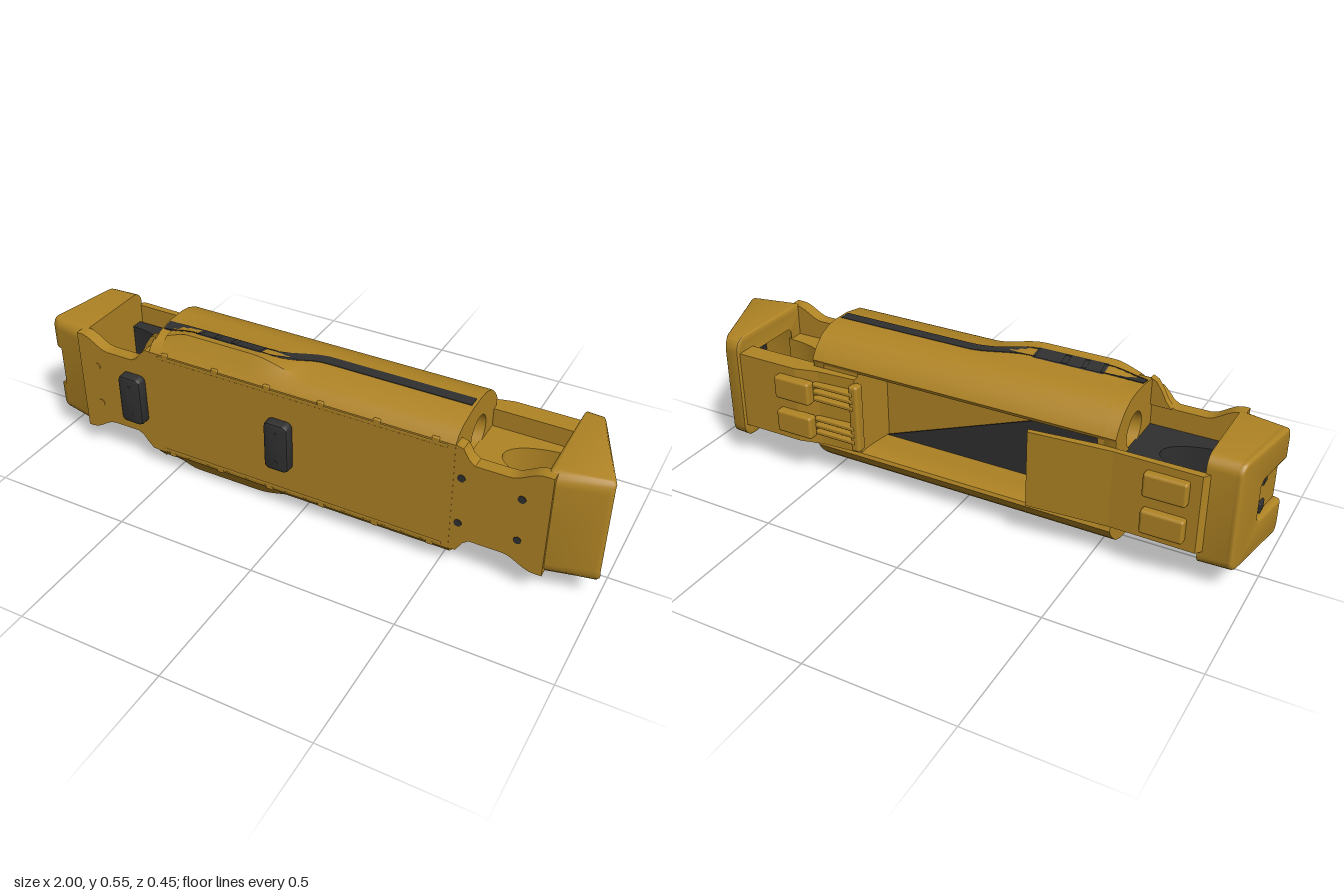
import * as THREE from 'three';
import { toCreasedNormals } from 'three/addons/utils/BufferGeometryUtils.js';
import { RoundedBoxGeometry } from 'three/addons/geometries/RoundedBoxGeometry.js';

const MID = 0.275; // height of the horizontal symmetry plane
const yellow = new THREE.MeshStandardMaterial({ color: 0xb08424, side: THREE.DoubleSide });
const dark = new THREE.MeshStandardMaterial({ color: 0x303030, side: THREE.DoubleSide });
const { smoothstep } = THREE.MathUtils;

export function createModel() {
  const model = new THREE.Group();
  const add = (name, geo, mat, x = 0, y = 0, z = 0) => {
    const m = new THREE.Mesh(geo, mat);
    m.name = name;
    m.position.set(x, y, z);
    model.add(m);
    return m;
  };
  const rbox = (name, mat, x, y, z, w, h, d, r = 0.01) =>
    add(name, new RoundedBoxGeometry(w, h, d, 2, Math.min(r, w / 2.1, h / 2.1, d / 2.1)), mat, x, y, z);
  const shapeOf = (pts) => new THREE.Shape(pts.map(([a, b]) => new THREE.Vector2(a, b)));
  const extrude = (shape, depth, opt = {}) =>
    new THREE.ExtrudeGeometry(shape, { depth, bevelEnabled: false, curveSegments: 16, ...opt });
  // Section given as [z, y], swept from x0 to x1
  const zy = (pts) => shapeOf(pts.map(([z, y]) => [-z, y]));
  const alongX = (shape, x0, x1, opt) => extrude(shape, x1 - x0, opt).rotateY(Math.PI / 2).translate(x0, 0, 0);
  // Plan given as [x, z], swept from y0 to y1
  const xz = (pts) => shapeOf(pts.map(([x, z]) => [x, -z]));
  const alongY = (shape, y0, y1) => extrude(shape, y1 - y0).rotateX(-Math.PI / 2).translate(0, y0, 0);
  const move = (geo, rule) => {
    const p = geo.attributes.position, v = new THREE.Vector3();
    for (let i = 0; i < p.count; i++) {
      rule(v.fromBufferAttribute(p, i));
      p.setXYZ(i, v.x, v.y, v.z);
    }
    return toCreasedNormals(geo, 0.6);
  };
  const roundRect = (z0, z1, y0, y1, r) => {
    const pts = [];
    [[z1 - r, y1 - r], [z0 + r, y1 - r], [z0 + r, y0 + r], [z1 - r, y0 + r]].forEach(([cz, cy], q) => {
      for (let i = 0; i <= 5; i++) {
        const a = (q + i / 5) * Math.PI / 2;
        pts.push([cz + r * Math.cos(a), cy + r * Math.sin(a)]);
      }
    });
    return pts;
  };
  const flip = (pts) => pts.map(([a, y]) => [a, 2 * MID - y]).reverse();

  // Body: C-shaped shell, open at the back, with swollen flanks on one half
  const flank = [[0.19, 0.475], [0.172, 0.498], [0.14, 0.515], [0.06, 0.53], [-0.01, 0.531], [-0.05, 0.525],
    [-0.09, 0.508], [-0.12, 0.482], [-0.14, 0.458], [-0.15, 0.44], [-0.145, 0.428]];
  const channel = [[-0.12, 0.424], [-0.06, 0.428], [0.03, 0.44]];
  const swelling = (x) => 0.034 * smoothstep(x, -0.56, -0.43) * (1 - smoothstep(x, -0.19, 0));
  const swell = (v) => {
    if (Math.abs(v.z - 0.14) < 0.01) v.y += Math.sign(v.y - MID) * swelling(v.x);
  };
  const shell = [...flank, ...channel, ...flip(channel), ...flip(flank)];
  add('bodyShell', move(alongX(zy(shell), -0.52, 0.496, { steps: 40 }), swell), yellow);

  // Body ends: solid bulkhead, then a rim with two round sockets
  const solid = [...flank, ...flip(flank)];
  for (const [inner, mid, outer] of [[0.36, 0.495, 0.535], [-0.5, -0.52, -0.56]]) {
    const fill = mid > 0 ? [[-0.144, 0.435], [0.04, 0.445], [0.04, 0.105], [-0.144, 0.115]] : solid;
    add('bulkhead', alongX(zy(fill), Math.min(inner, mid), Math.max(inner, mid)), yellow);
    const rim = zy(solid);
    for (const y of [0.4, 0.15]) rim.holes.push(new THREE.Path().absarc(0, y, 0.06, 0, Math.PI * 2));
    add('socketRim', toCreasedNormals(alongX(rim, Math.min(mid, outer), Math.max(mid, outer)), 0.6), yellow);
  }

  // Dark triangular panel on the floor of the back channel
  const tri = extrude(shapeOf([[0.36, 0.112], [-0.5, 0.112], [-0.5, 0.435]]), 0.004);
  add('channelPanel', tri, dark, 0, 0, 0.018);

  // Front plate with waisted necks that flare into the end caps
  const half = (x) => {
    if (x < 0) return 0.145 + 0.1 * smoothstep(x, -0.64, -0.54) + 0.045 * (1 - smoothstep(x, -0.84, -0.74));
    return 0.145 + 0.1 * (1 - smoothstep(x, 0.52, 0.6)) + 0.04 * smoothstep(x, 0.71, 0.81);
  };
  const rows = [];
  for (const start of [-0.86, 0.52]) for (let i = 0; i <= 16; i++) rows.push(start + i * 0.02);
  const edge = rows.map((x) => [x, MID + Math.min(half(x), 0.2)]);
  add('frontPlate', toCreasedNormals(extrude(shapeOf([...flip(edge), ...edge].reverse()), 0.045), 0.5), yellow, 0, 0, 0.144);

  // Flared body corners above the right neck
  const flare = [[-0.555, 0.245], [-0.575, 0.235], [-0.595, 0.205], [-0.61, 0.175], [-0.63, 0.15], [-0.555, 0.15]];
  for (const s of [-1, 1])
    add('bodyFlare', extrude(shapeOf(flare.map(([x, y]) => [x, MID + s * y])), 0.025), yellow, 0, 0, 0.13);

  // Neck liners: blocks with a half-oval grip opening against the cap
  for (const s of [-1, 1]) {
    const end = s > 0 ? 0.82 : 0.85, tip = s > 0 ? 0.62 : 0.65, root = s > 0 ? 0.53 : 0.555;
    const pts = [[s * root, -0.13], [s * end, -0.13], [s * end, -0.09]];
    for (let i = 1; i < 16; i++) {
      const a = -Math.PI / 2 + (i / 16) * Math.PI;
      pts.push([s * (end - (end - tip) * Math.cos(a)), 0.09 * Math.sin(a)]);
    }
    pts.push([s * end, 0.09], [s * end, 0.145], [s * root, 0.145]);
    add('neckLiner', toCreasedNormals(alongY(xz(pts), 0.2, 0.35), 0.5), s > 0 ? yellow : dark);
  }

  // End caps, leaning back towards the rear and tapering at the front
  const lean = (s, x0, x1, k, taper) => (v) => {
    const far = Math.max(0, (s * v.x - x0) / (x1 - x0));
    v.x -= s * Math.max(0, 0.11 - v.z) * k * far;
    if (v.z > 0.1) v.z -= (v.z - 0.1) * taper * far;
    v.y = MID + (v.y - MID) * (1 - 0.02 * far);
  };
  const bevel = { bevelEnabled: true, bevelThickness: 0.015, bevelSize: 0.015, bevelOffset: -0.015, bevelSegments: 3 };
  const leftCap = zy(roundRect(-0.205, 0.185, 0.083, 0.467, 0.045));
  leftCap.holes.push(zy(roundRect(-0.17, 0.107, 0.143, 0.407, 0.035)));
  add('leftCap', move(alongX(leftCap, 0.825, 0.985, bevel), lean(1, 0.81, 1, 0.43, 0.6)), yellow);
  const rightLean = lean(-1, 0.84, 1, 0.2, 0.45);
  add('rightCap', move(alongX(zy(roundRect(-0.15, 0.185, 0.083, 0.467, 0.04)), -0.975, -0.84), rightLean), yellow);
  const notched = roundRect(-0.15, 0.185, 0.083, 0.467, 0.04);
  notched.push([0.185, 0.2], [0.0, 0.2], [-0.015, 0.215], [-0.015, 0.335], [0.0, 0.35], [0.185, 0.35]);
  add('rightCapTip', move(alongX(zy(notched), -0.99, -0.975,
    { ...bevel, bevelThickness: 0.01, bevelSize: 0.01, bevelOffset: -0.01 }), rightLean), yellow);
  for (const y of [0.325, 0.225]) rbox('contact', dark, -0.964, y, 0.045, 0.012, 0.035, 0.04, 0.004);

  // Sunken dark panel with keys in the left cap
  const keypad = new THREE.Group();
  keypad.name = 'keypad';
  keypad.position.set(0.905, MID, -0.03);
  keypad.rotation.y = 0.4;
  const key = (name, y, z, h, d, x, w) => {
    const m = new THREE.Mesh(new RoundedBoxGeometry(w, h, d, 2, 0.006), dark);
    m.name = name;
    m.position.set(x, y, z);
    keypad.add(m);
  };
  key('keyPanel', 0, 0, 0.26, 0.3, -0.012, 0.016);
  for (const s of [-1, 1]) {
    key('keyRow', s * 0.083, 0, 0.07, 0.27, 0, 0.02);
    for (const [z, d] of [[0.095, 0.047], [0.036, 0.047], [-0.062, 0.115]]) key('key', s * 0.08, z, 0.042, d, 0.01, 0.014);
  }
  model.add(keypad);

  // Rear plates bridging the necks, with straps and fingers
  const rightPlate = xz([[-0.86, -0.145], [-0.84, -0.17], [-0.56, -0.165], [-0.285, -0.185], [-0.28, -0.168], [-0.5, -0.145]]);
  add('rightRearPlate', alongY(rightPlate, 0.14, 0.41), yellow);
  const leftPlate = xz([[0.36, -0.14], [0.36, -0.165], [0.5, -0.175], [0.58, -0.195], [0.84, -0.195], [0.84, -0.125], [0.54, -0.125]]);
  add('leftRearPlate', alongY(leftPlate, 0.135, 0.415), yellow);
  for (const y of [0.342, 0.212]) {
    rbox('rightStrap', yellow, -0.735, y, -0.178, 0.14, 0.083, 0.035);
    rbox('leftStrap', yellow, 0.58, y, -0.205, 0.14, 0.083, 0.04);
    for (const dy of [-0.026, 0, 0.026]) rbox('rearFinger', yellow, 0.435, y + dy, -0.178, 0.16, 0.016, 0.03, 0.005);
  }
  rbox('rearEdge', yellow, 0.355, MID, -0.17, 0.035, 0.25, 0.04);

  // Dark inlay bands and grip pads, following the slope of the flanks
  const line = [];
  for (let x = -0.555; x < 0.53; x += 0.03) line.push([x, 0.085 - 0.052 * smoothstep(x, -0.16, 0.03)]);
  const band = [...line.map(([x, z]) => [x, z + 0.02]), ...line.map(([x, z]) => [x, z - 0.02]).reverse()];
  for (const s of [-1, 1]) {
    const y0 = MID + s * 0.235, y1 = MID + s * 0.2575;
    const follow = (v) => { v.y += s * Math.max(0, v.z - 0.06) / 0.08 * (swelling(v.x) - 0.015); };
    add('inlayBand', move(alongY(xz(band), Math.min(y0, y1), Math.max(y0, y1)), follow), dark);
    rbox('gripPad', dark, -0.3, MID + s * 0.25, 0.088, 0.26, 0.024, 0.07).rotation.x = -0.23 * s;
    for (const [x, w] of [[-0.385, 0.05], [-0.32, 0.05], [-0.23, 0.09]])
      rbox('gripKey', dark, x, MID + s * 0.26, 0.086, w, 0.008, 0.045, 0.003).rotation.x = -0.23 * s;
    // Long ridges with small clips on the front
    rbox('frontRidge', yellow, -0.01, MID + s * 0.188, 0.188, 1.04, 0.012, 0.008, 0.003);
    for (let i = 0; i < 6; i++) rbox('ridgeClip', yellow, -0.5 + i * 0.194, MID + s * 0.196, 0.186, 0.025, 0.024, 0.012, 0.004);
  }

  // Front feet and bolts
  for (const x of [-0.635, -0.065]) {
    const foot = extrude(shapeOf(roundRect(-0.045, 0.045, -0.092, 0.092, 0.02)), 0.025,
      { ...bevel, bevelThickness: 0.012, bevelSize: 0.012, bevelOffset: -0.012, bevelSegments: 2 });
    add('foot', toCreasedNormals(foot, 0.5), dark, x, MID, 0.188);
    for (const y of [-0.055, 0.055]) add('footScrew', new THREE.CylinderGeometry(0.007, 0.007, 0.004, 14).rotateX(Math.PI / 2), dark, x, MID + y, 0.224);
  }
  for (const [x, dy, mat] of [[0.56, 0.086, dark], [0.752, 0.078, dark], [-0.79, 0.075, yellow]])
    for (const s of [-1, 1])
      add('bolt', new THREE.CylinderGeometry(0.013, 0.013, 0.006, 18).rotateX(Math.PI / 2), mat, x, MID + s * dy, 0.188);

  return model;
}
